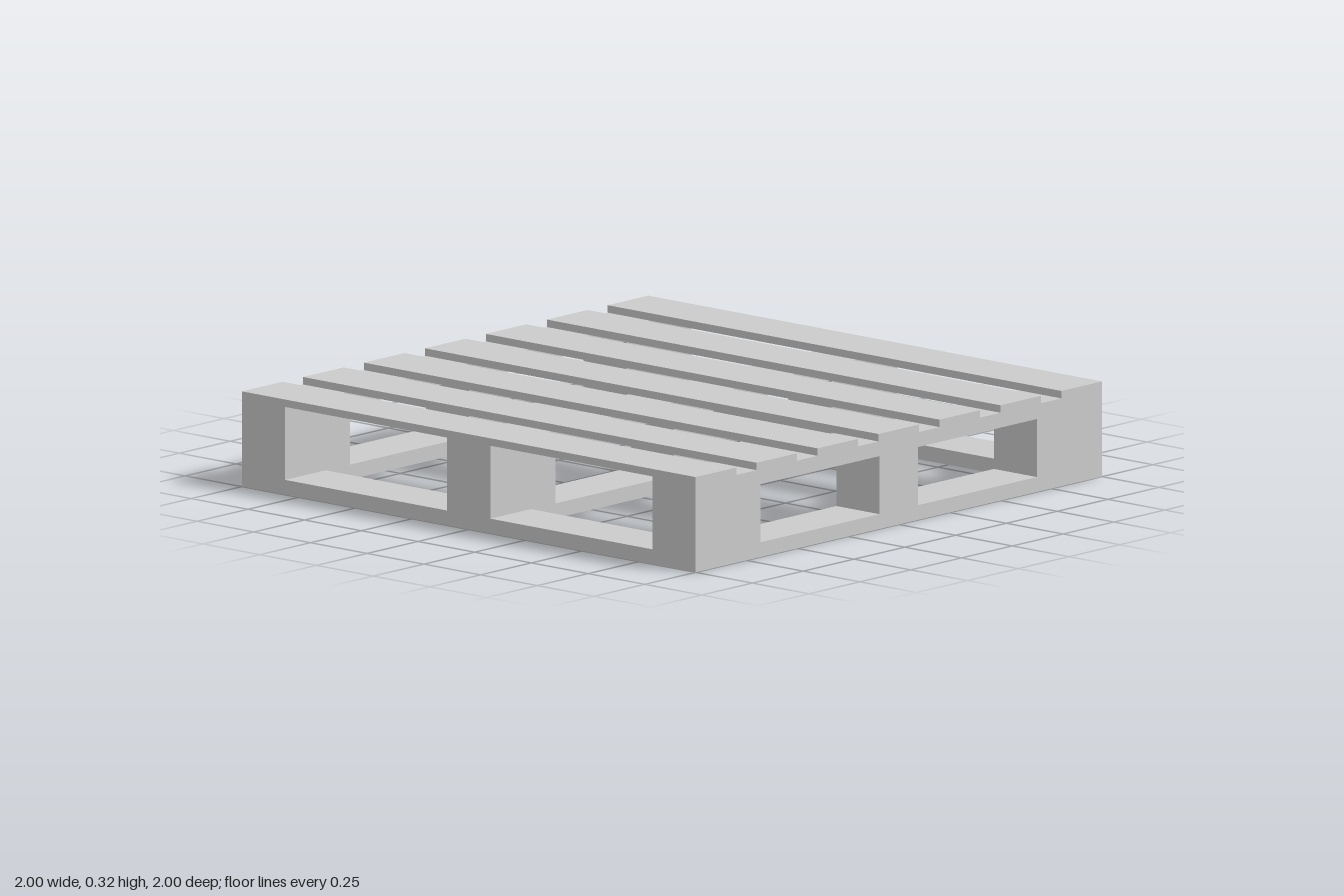
import * as THREE from 'three';

const material = new THREE.MeshStandardMaterial({ color: 0xcccccc, flatShading: true });

const BASE_TOP = 0.05;    // top of the bottom frame
const RAIL_BOTTOM = 0.245; // underside of the stringer rails
const DECK_BOTTOM = 0.295;
const DECK_TOP = 0.32;
const BEAM = 0.19;        // width of the stringers
const BOARD = 0.2;        // width of the deck boards

// Closed outline from a list of points
function outline(points, Type = THREE.Shape) {
  return new Type(points.map(([x, y]) => new THREE.Vector2(x, y)));
}

function rectangle(x0, y0, x1, y1, Type) {
  return outline([[x0, y0], [x1, y0], [x1, y1], [x0, y1]], Type);
}

function extrude(shape, depth) {
  return new THREE.ExtrudeGeometry(shape, { depth, bevelEnabled: false });
}

export function createModel() {
  const model = new THREE.Group();
  model.name = 'pallet';

  const add = (name, geometry, x = 0, y = 0, z = 0) => {
    const mesh = new THREE.Mesh(geometry, material);
    mesh.name = name;
    mesh.position.set(x, y, z);
    model.add(mesh);
  };

  // Bottom frame: a rim and one middle board, leaving two long openings
  const frame = rectangle(-1, -1, 1, 1);
  const inner = 1 - BOARD;
  for (const [x0, x1] of [[-1 + BEAM, -BEAM / 2], [BEAM / 2, 1 - BEAM]]) {
    frame.holes.push(rectangle(x0, -inner, x1, inner, THREE.Path));
  }
  add('bottomFrame', extrude(frame, BASE_TOP).rotateX(-Math.PI / 2));

  // Stringers: three feet joined by a rail, with fork openings between them
  const foot = BEAM / 2;
  const end = 0.68;
  const profile = outline([
    [-1, BASE_TOP], [-end, BASE_TOP], [-end, RAIL_BOTTOM], [-foot, RAIL_BOTTOM],
    [-foot, BASE_TOP], [foot, BASE_TOP], [foot, RAIL_BOTTOM], [end, RAIL_BOTTOM],
    [end, BASE_TOP], [1, BASE_TOP], [1, DECK_BOTTOM], [-1, DECK_BOTTOM],
  ]);
  const stringer = extrude(profile, BEAM).translate(0, 0, -BEAM / 2).rotateY(Math.PI / 2);
  const side = 1 - BEAM / 2;
  add('rightStringer', stringer, -side);
  add('middleStringer', stringer, 0);
  add('leftStringer', stringer, side);

  // Deck boards across the top
  const thickness = DECK_TOP - DECK_BOTTOM;
  const board = new THREE.BoxGeometry(2, thickness, BOARD);
  for (let i = 0; i < 7; i++) {
    add(`deckBoard${i + 1}`, board, 0, DECK_BOTTOM + thickness / 2, -0.9 + i * 0.3);
  }

  return model;
}
